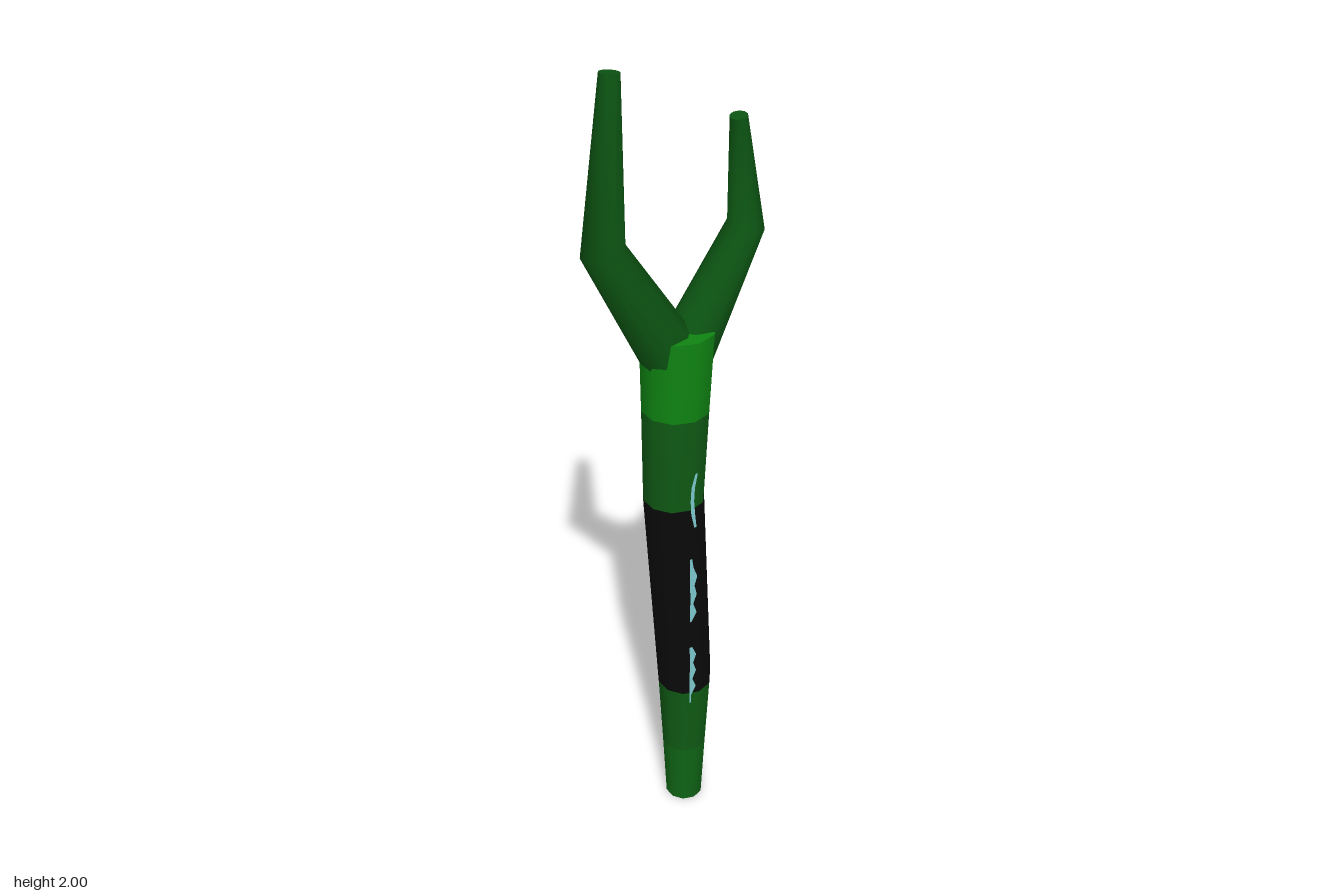
import * as THREE from 'three';

const paint = (name, color) => {
  const m = new THREE.MeshStandardMaterial({ color });
  m.name = name;
  return m;
};

const SIDES = 10;

// Skins rings [x, y, z, radius, material index of the band above] into a capped limb.
function limb(rings, level) {
  const pos = [], index = [], bands = [];
  const centre = rings.map(r => new THREE.Vector3(r[0], r[1], r[2]));
  const up = new THREE.Vector3(0, 1, 0);
  const n = rings.length;
  const addRing = i => {
    const before = centre[Math.max(i - 1, 0)], after = centre[Math.min(i + 1, n - 1)];
    const dir = level ? up : after.clone().sub(before).normalize();
    const turn = new THREE.Quaternion().setFromUnitVectors(up, dir);
    const start = pos.length / 3;
    for (let k = 0; k < SIDES; k++) {
      const a = (k + 0.2) / SIDES * Math.PI * 2;
      const p = new THREE.Vector3(Math.sin(a), 0, Math.cos(a)).multiplyScalar(rings[i][3]);
      p.applyQuaternion(turn).add(centre[i]);
      pos.push(p.x, p.y, p.z);
    }
    return start;
  };
  rings.forEach((r, i) => addRing(i));
  for (let i = 0; i < n - 1; i++) {
    bands.push([index.length, SIDES * 6, rings[i][4]]);
    for (let k = 0; k < SIDES; k++) {
      const a = i * SIDES + k, b = i * SIDES + (k + 1) % SIDES;
      index.push(a, b, b + SIDES, a, b + SIDES, a + SIDES);
    }
  }
  // Flat caps with their own corners, so the rims stay sharp
  for (const end of [0, n - 1]) {
    const s = addRing(end), first = index.length;
    for (let k = 1; k < SIDES - 1; k++) {
      if (end) index.push(s, s + k, s + k + 1);
      else index.push(s, s + k + 1, s + k);
    }
    bands.push([first, index.length - first, rings[end ? n - 2 : 0][4]]);
  }
  const g = new THREE.BufferGeometry();
  g.setAttribute('position', new THREE.Float32BufferAttribute(pos, 3));
  g.setIndex(index);
  bands.forEach(b => g.addGroup(...b));
  g.computeVertexNormals();
  return g;
}

export function createModel() {
  const group = new THREE.Group();
  const tipGreen = paint('tipGreen', 0x0f6415);
  const stemGreen = paint('stemGreen', 0x0f5a14);
  const gripBlack = paint('gripBlack', 0x0a0a0a);
  const collarGreen = paint('collarGreen', 0x0f8412);
  const branchGreen = paint('branchGreen', 0x0c5412);
  const markBlue = paint('markBlue', 0x7cc8cc);
  markBlue.side = THREE.DoubleSide;

  const add = (name, geometry, material) => {
    const mesh = new THREE.Mesh(geometry, material);
    mesh.name = name;
    group.add(mesh);
  };

  // Gently crooked shaft with painted bands
  add('shaft', limb([
    [0.025, 0, 0.002, 0.048, 0],
    [0.026, 0.18, 0, 0.057, 1],
    [0.028, 0.38, -0.004, 0.068, 2],
    [0.027, 0.41, -0.004, 0.069, 2],
    [-0.008, 0.96, 0.008, 0.074, 1],
    [-0.001, 1.2, 0.004, 0.081, 3],
    [0.005, 1.4, 0, 0.088, 3],
  ], true), [tipGreen, stemGreen, gripBlack, collarGreen]);

  // Forked head
  add('rightBranch', limb([
    [0.01, 1.3, 0, 0.073, 0],
    [-0.177, 1.63, 0.02, 0.05, 0],
    [-0.14, 1.998, -0.01, 0.023, 0],
  ]), [branchGreen]);
  add('leftBranch', limb([
    [0.005, 1.3, 0, 0.07, 0],
    [0.181, 1.605, -0.022, 0.044, 0],
    [0.144, 1.868, 0.004, 0.02, 0],
  ]), [branchGreen]);

  // Scratched marks on the front: a jagged strip, width given at even steps
  const mark = (name, low, high, lefts, rights) => {
    const y = (i, list) => low + (high - low) * i / (list.length - 1);
    const outline = [
      ...lefts.map((x, i) => new THREE.Vector2(x, y(i, lefts))),
      ...rights.map((x, i) => new THREE.Vector2(x, y(i, rights))).reverse(),
    ];
    const g = new THREE.ShapeGeometry(new THREE.Shape(outline));
    g.translate(0, 0, 0.083);
    add(name, g, markBlue);
  };
  mark('lowerMark', 0.37, 0.55, [0, 0, 0.001, 0], [0.005, 0.005, 0.018, 0.008, 0.018, 0.01, 0.018, 0.007]);
  mark('middleMark', 0.63, 0.82, [0, 0.001, 0, 0], [0.005, 0.018, 0.009, 0.018, 0.012, 0.019, 0.009, 0.005]);
  mark('upperMark', 0.91, 1.06, [0.01, 0.002, 0, 0.002, 0.012], [0.016, 0.012, 0.009, 0.011, 0.018]);

  return group;
}
